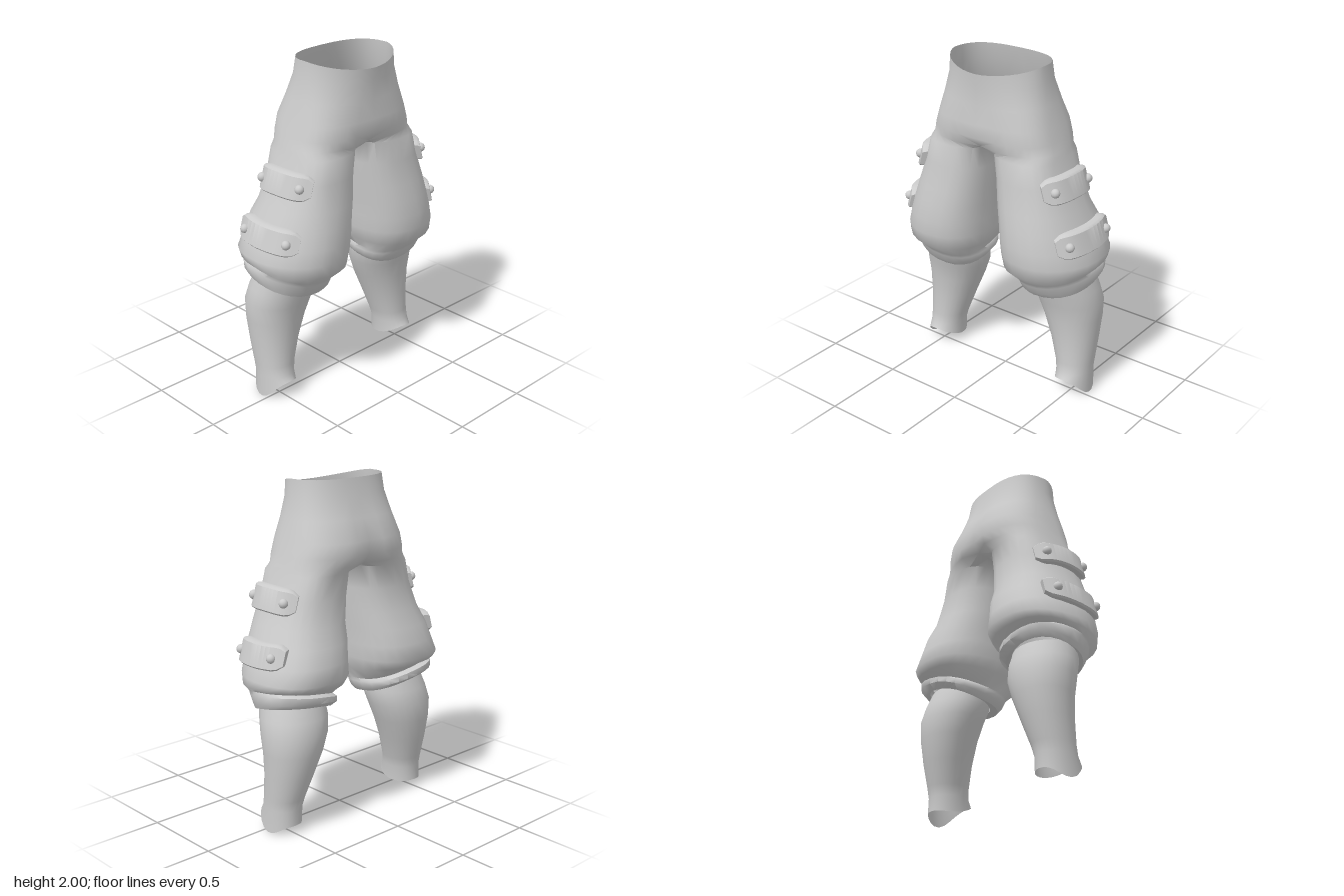
import * as THREE from 'three';
import { mergeGeometries, mergeVertices, toCreasedNormals } from 'three/addons/utils/BufferGeometryUtils.js';

const material = new THREE.MeshStandardMaterial({ color: 0xcccccc, side: THREE.DoubleSide });
const N = 24;          // points round a leg
const OUTER = 19;      // of which these continue up into the hips
const START = -3;      // ring starts just inside of the front of the leg

// Skin a list of rings; width(i) limits how many quads are made after ring i
function loft(rings, width) {
  const pos = [], index = [], n = rings[rings.length - 1].length;
  rings.forEach(r => { for (let j = 0; j < n; j++) pos.push(...(r[j] || r[0])); });
  for (let i = 0; i < rings.length - 1; i++) {
    const count = width ? width(i) : n;
    for (let j = 0; j < count; j++) {
      const k = (j + 1) % n;
      const a = i * n + j, b = i * n + k, c = a + n, d = b + n;
      index.push(a, c, b, b, c, d);
    }
  }
  const g = new THREE.BufferGeometry();
  g.setAttribute('position', new THREE.Float32BufferAttribute(pos, 3));
  g.setIndex(index);
  return g;
}

function mirrored(geometry) {
  const g = geometry.clone().scale(-1, 1, 1), ix = g.index.array;
  for (let i = 0; i < ix.length; i += 3) [ix[i], ix[i + 1]] = [ix[i + 1], ix[i]];
  return g;
}

const power = (v, n) => Math.sign(v) * Math.abs(v) ** (2 / n);

// Closed leg section: height, roundness of the front outer corner and of the rest,
// inner/outer x, front/back z, tilt toward outside and back
function legRing([y, corner, rest, xi, xo, zf, zb, tiltX = 0, tiltZ = 0]) {
  return Array.from({ length: N }, (_, j) => {
    const t = (j + START) / N * Math.PI * 2, s = Math.sin(t), c = Math.cos(t);
    const n = s > 0 && c > 0 ? corner : rest;
    return [(xi + xo) / 2 + (xo - xi) / 2 * power(s, n), y + tiltX * s - tiltZ * c,
      (zf + zb) / 2 + (zf - zb) / 2 * power(c, n)];
  });
}

// Half hip section from front centre to back centre, with its own front and back roundness
function hipRing([y, xo, zf, zb, nf, nb, dip = 0, cleft = 0]) {
  return Array.from({ length: OUTER }, (_, j) => {
    const t = j / (OUTER - 1) * Math.PI, s = Math.sin(t), c = Math.cos(t);
    const n = c > 0 ? nf : nb, end = j === 0 || j === OUTER - 1;
    return [end ? 0 : xo * power(s, n), y - dip * Math.max(c, 0) ** 1.5,
      (zf + zb) / 2 + (zf - zb) / 2 * power(c, n) + (j === OUTER - 1 ? cleft : 0)];
  });
}

function trousersGeometry() {
  const hips = [
    [2.0, 0.308, 0.272, -0.143, 1.85, 2.7, 0.05], [1.9, 0.315, 0.266, -0.165, 2.05, 2.6, 0.025],
    [1.78, 0.343, 0.265, -0.21, 2.5, 2.6, 0.01, 0.015], [1.66, 0.374, 0.276, -0.265, 3, 2.6, 0, 0.02],
    [1.58, 0.396, 0.275, -0.263, 3.2, 2.7, 0, 0.02],
  ].map(hipRing);
  // Crotch ring closes the gap between front and back on the centre line
  const crotch = hipRing([1.525, 0.412, 0.265, -0.25, 3.2, 2.7]);
  crotch[0][2] = 0.235;
  crotch[OUTER - 1][2] = -0.205;
  for (let k = 1; k <= N - OUTER; k++) {
    const f = k / (N - OUTER + 1);
    crotch.push([0, 1.525 - 0.02 * Math.sin(f * Math.PI), -0.205 + 0.44 * f]);
  }
  const legs = [
    [1.485, 3, 2.8, 0.034, 0.424, 0.257, -0.213], [1.35, 2.7, 2.6, 0.046, 0.467, 0.265, -0.215],
    [1.2, 2.3, 2.5, 0.06, 0.53, 0.292, -0.237], [1.1, 2.1, 2.5, 0.071, 0.575, 0.307, -0.28],
    [1.0, 1.95, 2.5, 0.08, 0.615, 0.319, -0.3], [0.91, 1.9, 2.5, 0.085, 0.647, 0.318, -0.32],
    [0.85, 1.9, 2.5, 0.1, 0.645, 0.303, -0.29, 0.015, 0.02],
    // tucked hem and cuff, rolled at the back and flush at the front
    [0.8, 2.1, 2.4, 0.16, 0.622, 0.225, -0.232, 0.045, 0.035],
    [0.785, 2.1, 2.4, 0.153, 0.63, 0.215, -0.268, 0.045, 0.04],
    [0.745, 2.1, 2.4, 0.158, 0.622, 0.194, -0.27, 0.035, 0.045],
    [0.715, 2.2, 2.4, 0.182, 0.608, 0.168, -0.23, 0.035, 0.045],
    [0.73, 2.2, 2.2, 0.215, 0.59, 0.13, -0.21, 0.035, 0.045],
  ].map(legRing);
  const half = loft([...hips, crotch, ...legs], i => i < hips.length ? OUTER - 1 : N);
  const whole = mergeVertices(mergeGeometries([half, mirrored(half)]), 1e-4);
  return toCreasedNormals(whole, 1.0);
}

function lowerLegGeometry() {
  const rings = [
    [0.77, 0.21, 0.585, 0.15, -0.2], [0.68, 0.205, 0.61, 0.13, -0.235],
    [0.59, 0.225, 0.625, 0.1, -0.256], [0.48, 0.268, 0.618, 0.077, -0.248],
    [0.34, 0.325, 0.607, 0.066, -0.218], [0.2, 0.372, 0.6, 0.066, -0.178],
    [0.14, 0.387, 0.597, 0.075, -0.165], [0.06, 0.39, 0.602, 0.097, -0.167],
  ].map(([y, ...size]) => legRing([y, 2.1, 2.1, ...size]));
  // Wavy hem: high at the front, dipping to a point on the outside
  rings[rings.length - 1].forEach((p, j) => {
    const t = (j + START) / N * Math.PI * 2, s = Math.sin(t), c = Math.cos(t);
    p[1] = 0.05 + 0.03 * c + 0.03 * c * c - (s > 0 ? 0.05 * s ** 4 : 0);
  });
  return loft(rings);
}

// Band curved round the outside of the thigh, leaning with the leg
function strapGeometry(curve, lean) {
  const steps = 14, rings = [];
  const section = [[-0.045, -1], [-0.012, -1], [0, -0.86], [0, 0.86], [-0.012, 1], [-0.045, 1]];
  for (let i = -1; i <= steps + 1; i++) {
    const u = Math.min(Math.max(i / steps, 0), 1);
    const p = curve.getPointAt(u), t = curve.getTangentAt(u);
    const normal = new THREE.Vector3(-t.z, 0, t.x).normalize();
    const end = Math.min(u, 1 - u) * steps;
    const h = i < 0 || i > steps ? 0 : 0.07 * (end < 0.5 ? 0.62 : end < 1.5 ? 0.92 : 1);
    rings.push(section.map(([o, v]) => [
      p.x + normal.x * o - lean * v * h, p.y + v * h, p.z + normal.z * o]));
  }
  return toCreasedNormals(loft(rings), 0.7);
}

export function createModel() {
  const model = new THREE.Group();
  const add = (name, geometry) => {
    const mesh = new THREE.Mesh(geometry, material);
    mesh.name = name;
    model.add(mesh);
  };
  const addPair = (name, geometry) => {
    const g = geometry.index ? geometry : mergeVertices(geometry);
    add('left' + name, g);
    add('right' + name, mirrored(g));
  };

  add('trousers', trousersGeometry());

  const calf = lowerLegGeometry();
  calf.computeVertexNormals();
  addPair('LowerLeg', calf);

  // Two riveted straps on the outside of each thigh
  const straps = [
    ['UpperStrap', [[0.437, 1.345, 0.24], [0.498, 1.352, 0.17], [0.526, 1.358, 0.03],
      [0.508, 1.352, -0.09], [0.458, 1.345, -0.15]]],
    ['LowerStrap', [[0.535, 1.045, 0.24], [0.598, 1.053, 0.17], [0.634, 1.06, 0.01],
      [0.622, 1.067, -0.12], [0.588, 1.07, -0.19]]],
  ];
  for (const [name, points] of straps) {
    const curve = new THREE.CatmullRomCurve3(points.map(p => new THREE.Vector3(...p)));
    addPair(name, strapGeometry(curve, 0.3));
    [0.16, 0.83].forEach((u, i) => {
      const p = curve.getPointAt(u);
      addPair(name + (i ? 'BackRivet' : 'FrontRivet'),
        new THREE.SphereGeometry(0.027, 12, 8).translate(p.x, p.y, p.z));
    });
  }
  return model;
}
